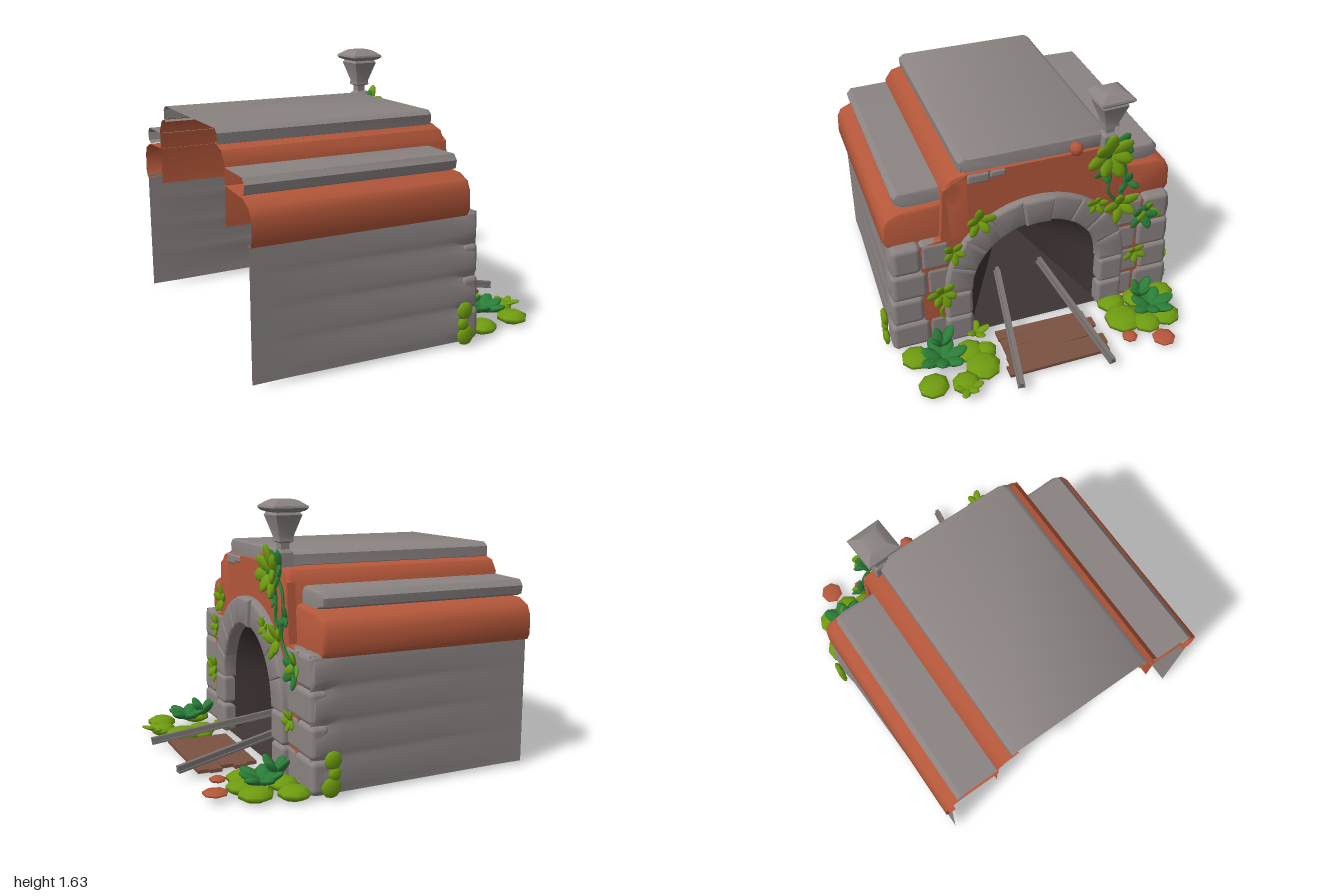
import * as THREE from 'three';
import { toCreasedNormals } from 'three/addons/utils/BufferGeometryUtils.js';
import { RoundedBoxGeometry } from 'three/addons/geometries/RoundedBoxGeometry.js';

const mat = (name, color) => {
  const m = new THREE.MeshStandardMaterial({ color, side: THREE.DoubleSide });
  m.name = name;
  return m;
};

export function createModel() {
  const root = new THREE.Group();
  root.name = 'tunnelPortal';
  const stone = mat('grey stone', 0x8a8382);
  const clay = mat('terracotta', 0xb4573a);
  const dark = mat('dark interior', 0x3d3333);
  const wood = mat('brown wood', 0x7a5240);
  const iron = mat('rail iron', 0x77716f);
  const leafLight = mat('light green leaf', 0x6f9c10);
  const leafDark = mat('dark green leaf', 0x2b7d38);

  const add = (name, geo, material, x = 0, y = 0, z = 0, parent = root) => {
    const m = new THREE.Mesh(geo, material);
    m.name = name;
    m.position.set(x, y, z);
    parent.add(m);
    return m;
  };

  const triangles = (tris) => {
    const g = new THREE.BufferGeometry();
    g.setAttribute('position', new THREE.Float32BufferAttribute(tris.flat(), 3));
    g.computeVertexNormals();
    return toCreasedNormals(g, 0.7);
  };

  // Joins successive cross-sections (arrays of [x, y, z]) with quads
  const loft = (rows, tris = []) => {
    for (let i = 0; i + 1 < rows.length; i++)
      for (let j = 0; j + 1 < rows[i].length; j++) {
        const a = rows[i][j], b = rows[i][j + 1], c = rows[i + 1][j], d = rows[i + 1][j + 1];
        tris.push(a, b, c, b, d, c);
      }
    return tris;
  };

  // Hollow course along x, open at the back, rounded and closed at the front
  const course = (name, profile, pivot, xEnd, material, s = 1) => {
    const stations = [[-1, 0], [xEnd - 0.035, 0], [xEnd - 0.01, 0.01], [xEnd, 0.035]];
    const rows = stations.map(([x, inset]) => profile.map(([z, y]) => {
      const dz = pivot[0] - z, dy = pivot[1] - y, k = Math.min(1, inset / Math.hypot(dz, dy));
      return [x, y + dy * k, s * (z + dz * k)];
    }));
    const tris = loft(rows);
    const end = rows[rows.length - 1], hub = [xEnd, pivot[1], s * pivot[0]];
    for (let j = 0; j + 1 < end.length; j++) tris.push(end[j], end[j + 1], hub);
    add(name, triangles(tris), material);
  };

  // Roof slab
  course('roofSlab', [[0.43, 1.24], [0.465, 1.255], [0.47, 1.315], [0.44, 1.34], [-0.44, 1.34],
    [-0.475, 1.315], [-0.475, 1.255], [-0.45, 1.24]], [0, 1.24], 0.39, stone);

  for (const s of [1, -1]) {
    // Stepped courses
    course('upperBand', [[0.57, 0.82], [0.575, 1.17], [0.53, 1.235], [0.43, 1.262]], [0.43, 0.82], 0.415, clay, s);
    course('ledgeSlab', [[0.8, 1.045], [0.84, 1.06], [0.85, 1.11], [0.82, 1.145], [0.56, 1.15]], [0.56, 1.045], 0.32, stone, s);
    course('lowerBand', [[0.87, 0.8], [0.915, 0.795], [0.935, 0.83], [0.93, 0.95], [0.905, 1.0], [0.83, 1.035], [0.56, 1.05]],
      [0.56, 0.8], 0.36, clay, s);

    // Side wall, flat at the back and swelling into stone rows at the front corner
    const rows = [[-1, 0, 0], [-0.8, 0, 0], [0.22, 0.85, 0.35], [0.34, 1, 1], [0.4, 0.9, 0.9], [0.42, 0.3, 0]].map(([x, lean, swell]) => {
      const row = [];
      for (let k = 0; k <= 24; k++) {
        const t = k / 24, bulge = Math.pow(Math.abs(Math.sin(t * Math.PI * 4)), 0.6);
        row.push([x, 0.03 + 0.78 * t, s * (0.895 + lean * 0.035 * (1 - t) + swell * 0.024 * bulge)]);
      }
      return row;
    });
    add('sideWall', triangles(loft(rows)), stone);

    // Corner stones on the front
    for (let r = 0; r < 4; r++) {
      const y = 0.13 + r * 0.195, split = r % 2 ? 0.73 : 0.7, outer = 0.94 - r * 0.012;
      const w = outer - split;
      add('cornerStone', new RoundedBoxGeometry(0.12, 0.2, w + 0.01, 3, 0.035), stone, 0.37, y, s * (split + w / 2));
      if (r !== 1 || s < 0)
        add('innerCornerStone', new RoundedBoxGeometry(0.115, 0.2, split - 0.545, 3, 0.03), stone, 0.365, y, s * (split + 0.55) / 2);
    }
  }

  // Front wall with arched opening
  const arch = (p, r) => {
    p.moveTo(r, 0.03);
    p.lineTo(r, 0.42);
    p.absarc(0, 0.42, r, 0, Math.PI, false);
    p.lineTo(-r, 0.03);
    p.closePath();
    return p;
  };
  const face = new THREE.Shape([[-0.73, 0.03], [0.73, 0.03], [0.73, 0.8], [0.6, 0.82], [0.575, 1.17], [0.43, 1.25],
    [-0.43, 1.25], [-0.575, 1.17], [-0.6, 0.82], [-0.73, 0.8]].map((p) => new THREE.Vector2(...p)));
  face.holes.push(arch(new THREE.Path(), 0.46));
  const wall = new THREE.ExtrudeGeometry(face, { depth: 0.05, bevelEnabled: false, curveSegments: 20 });
  add('frontWall', wall.rotateY(Math.PI / 2), clay, 0.365);

  // Dark tunnel narrowing to a point
  const mouth = arch(new THREE.Path(), 0.45).getPoints(12).map((p) => [0.42, p.y, -p.x]);
  const hollow = [];
  mouth.forEach((p, i) => hollow.push(p, mouth[(i + 1) % mouth.length], [-0.25, 0.38, 0]));
  add('tunnelInterior', triangles(hollow), dark);

  // Arch stones: a ring of wedges above stacked blocks
  const bevel = 0.018, wedgeCount = 9;
  for (let i = 0; i < wedgeCount; i++) {
    const step = Math.PI / wedgeCount, a0 = i * step + 0.03, a1 = (i + 1) * step - 0.03;
    const sh = new THREE.Shape();
    sh.absarc(0, 0, 0.595 - bevel, a0, a1, false);
    sh.absarc(0, 0, 0.42 + bevel, a1, a0, true);
    const g = new THREE.ExtrudeGeometry(sh, { depth: 0.09, bevelThickness: bevel, bevelSize: bevel, bevelSegments: 2, curveSegments: 3 });
    add(i === 4 ? 'keystone' : 'archStone', toCreasedNormals(g.rotateY(Math.PI / 2), 0.8), stone, i === 4 ? 0.375 : 0.355, 0.42, 0);
  }
  for (const s of [1, -1]) for (const y of [0.125, 0.32])
    add('jambStone', new RoundedBoxGeometry(0.13, 0.196, 0.175, 3, 0.03), stone, 0.4, y, s * 0.512);
  // Small stones below the roof slab
  add('looseStone', new RoundedBoxGeometry(0.1, 0.07, 0.14, 2, 0.018), stone, 0.375, 1.215, 0.36);
  add('looseStone', new RoundedBoxGeometry(0.1, 0.05, 0.1, 2, 0.016), stone, 0.375, 1.225, 0.24);

  // Square stone finial
  const finial = new THREE.LatheGeometry([[0, 1.25], [0.05, 1.25], [0.045, 1.33], [0.028, 1.35], [0.028, 1.385], [0.048, 1.395], [0.045, 1.42],
    [0.085, 1.545], [0.075, 1.56], [0.1, 1.57], [0.114, 1.585], [0.11, 1.597], [0.07, 1.625], [0.05, 1.633], [0, 1.635]]
    .map(([r, y]) => new THREE.Vector2(r * Math.SQRT2 * 0.97, y)), 4);
  add('finial', toCreasedNormals(finial, 0.5), stone, 0.39, 0, -0.46).rotation.y = Math.PI / 4 + 0.06;

  // Track planks and converging rails
  [[0.54, 0.6], [0.617, 0.63], [0.694, 0.59], [0.771, 0.65], [0.845, 0.66]].forEach(([x, len], i) => {
    add('plank', new THREE.BoxGeometry(0.078, 0.022, len), wood, x, 0.045, i % 2 ? -0.02 : 0).rotation.y = (i % 3 - 1) * 0.02;
  });
  for (const s of [1, -1]) {
    const a = new THREE.Vector3(0.998, 0.068, s * 0.3), b = new THREE.Vector3(0.1, 0.22, s * 0.15);
    const rail = new THREE.Group();
    rail.name = 'rail';
    rail.position.copy(a).lerp(b, 0.5);
    rail.lookAt(a);
    root.add(rail);
    const len = a.distanceTo(b);
    add('railFoot', new THREE.BoxGeometry(0.045, 0.012, len), iron, 0, -0.014, 0, rail);
    add('railHead', new THREE.BoxGeometry(0.026, 0.032, len), iron, 0, 0.006, 0, rail);
  }

  // Leaves arranged in a fan around a facing direction
  const leafGeo = new THREE.SphereGeometry(0.5, 7, 6).translate(0, 0.5, 0);
  const fan = (x, y, z, dir, count, len, material, tilt = 0.3, turn = 0) => {
    const g = new THREE.Group();
    g.name = 'leafCluster';
    g.position.set(x, y, z);
    g.quaternion.setFromUnitVectors(new THREE.Vector3(0, 0, 1), new THREE.Vector3(...dir).normalize());
    root.add(g);
    for (let i = 0; i < count; i++) {
      const l = add('leaf', leafGeo, material, 0, 0, 0, g);
      l.rotation.set(tilt + 0.12 * (i % 2), 0, turn + i * 2 * Math.PI / count, 'ZXY');
      l.scale.set(len * 0.55, len * (i % 2 ? 0.85 : 1), len * 0.25);
    }
  };
  const out = [1, 0, 0], up = [0, 1, 0];

  // Climbing plants: y, z, leaves, length, material, x
  [[1.22, -0.45, 7, 0.17, leafLight, 0.45], [1.25, -0.5, 5, 0.13, leafDark, 0.43], [1.07, -0.43, 3, 0.08, leafDark, 0.43],
    [0.97, -0.6, 3, 0.09, leafDark, 0.43], [0.84, -0.54, 5, 0.13, leafLight, 0.46], [0.7, -0.72, 5, 0.12, leafDark, 0.43],
    [0.73, -0.75, 3, 0.1, leafLight, 0.44], [0.89, -0.37, 5, 0.08, leafLight, 0.47], [0.4, -0.68, 5, 0.09, leafLight, 0.44],
    [0.95, 0.38, 5, 0.11, leafLight, 0.47], [0.75, 0.54, 5, 0.09, leafLight, 0.46], [0.44, 0.62, 6, 0.11, leafLight, 0.45]]
    .forEach(([y, z, n, len, m, x], i) => fan(x, y, z, out, n, len, m, 0.3, i * 0.7));

  // Hanging stems
  [[[1.22, -0.45], [1.12, -0.56], [0.98, -0.57], [0.85, -0.55], [0.76, -0.63], [0.7, -0.72]],
    [[1.2, -0.42], [1.05, -0.47], [0.95, -0.46], [0.85, -0.52]],
    [[0.44, 0.62], [0.36, 0.59], [0.29, 0.63], [0.23, 0.61]]].forEach((pts, i) => {
    const curve = new THREE.CatmullRomCurve3(pts.map(([y, z]) => new THREE.Vector3(0.44, y, z)));
    add('vineStem', new THREE.TubeGeometry(curve, 20, 0.01, 5), i === 2 ? leafLight : leafDark);
  });

  // Ground bushes: x, z, radius
  const blob = new THREE.SphereGeometry(1, 8, 5);
  [[0.74, 0.46, 0.12], [0.54, 0.83, 0.1], [0.8, 0.79, 0.1], [0.6, 0.5, 0.1], [0.62, 0.4, 0.07], [0.84, 0.6, 0.09],
    [0.5, -0.87, 0.1], [0.7, -0.8, 0.11], [0.48, -0.52, 0.1], [0.65, -0.53, 0.13], [0.73, -0.66, 0.1], [0.5, -0.7, 0.1]]
    .forEach(([x, z, r], i) => {
      const b = add('bush', blob, leafLight, x, 0.046, z);
      b.scale.set(r, 0.04, r * 0.95);
      b.rotation.y = i;
    });
  for (const [s, z] of [[1, 0.69], [-1, 0.73]]) {
    fan(0.64, 0.08, s * z, up, 7, 0.17, leafDark, 0.35);
    fan(0.54, 0.1, s * (z - 0.03), up, 4, 0.14, leafDark, 0.85, 0.5);
  }
  fan(0.89, 0.05, 0.6, up, 6, 0.1, leafLight, 0.2);
  fan(0.47, 0.06, 0.42, up, 5, 0.1, leafLight, 0.4);

  // Leaves on the outer sides
  for (const s of [1, -1]) for (const [y, x, r] of [[0.235, 0.31, 0.055], [0.155, 0.3, 0.04], [0.08, 0.32, 0.06]])
    add('sideLeaf', blob, leafLight, x, y, s * 0.967).scale.set(r, r, 0.022);

  // Fallen clay pieces
  for (const [x, y, z, r, h] of [[0.9, 0.05, -0.7, 0.078, 0.018], [0.82, 0.05, -0.5, 0.052, 0.018], [0.41, 1.28, -0.25, 0.045, 0.045]])
    add('clayPiece', new THREE.SphereGeometry(1, 7, 5), clay, x, y, z).scale.set(r, h, r);

  return root;
}
